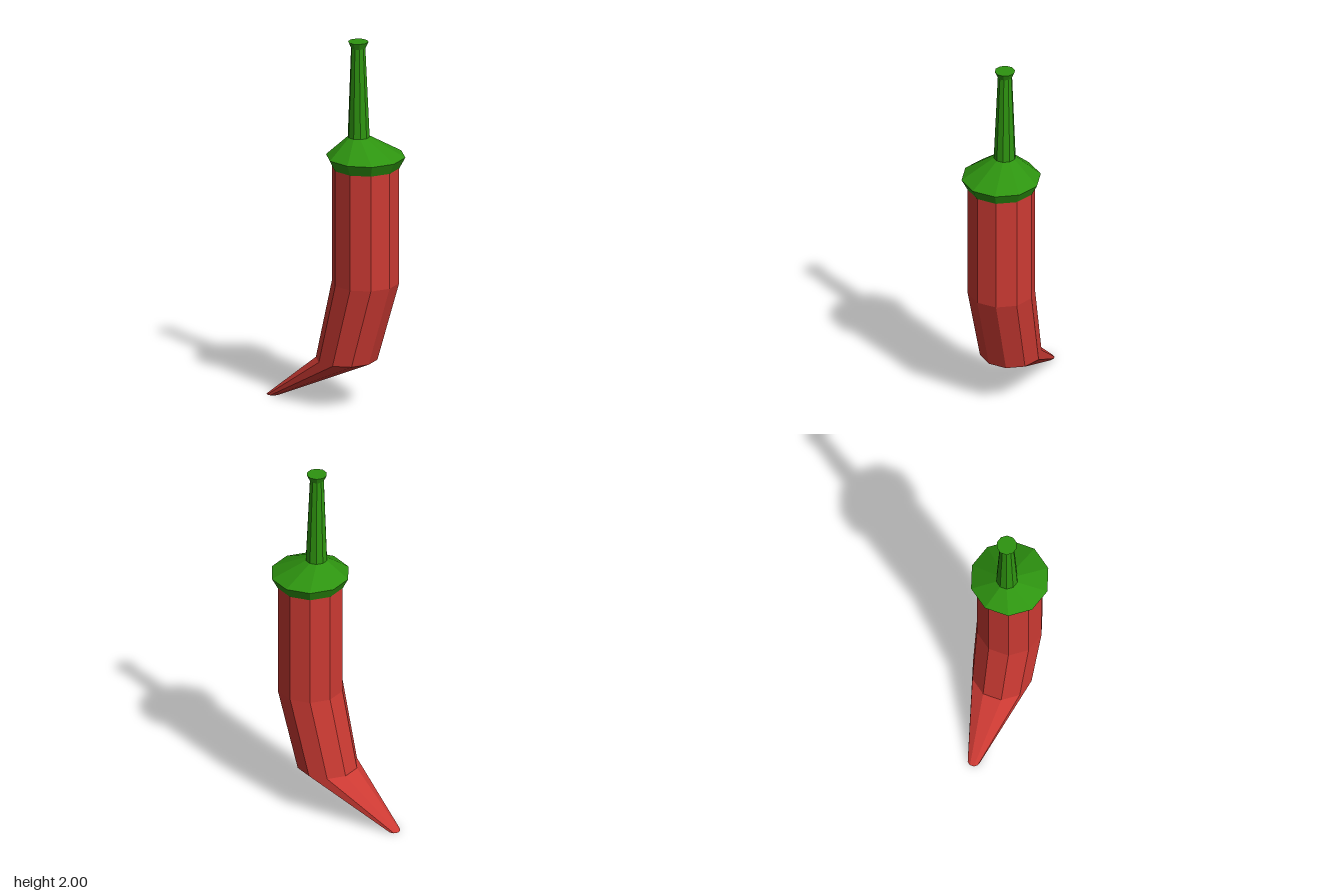
import * as THREE from 'three';

const SIDES = 10;

// Faceted skin through horizontal rings [centreX, y, radius], listed from top to bottom, with closed ends
function loft(name, rings, color) {
  const positions = [];
  const index = [];
  const last = rings.length - 1;
  for (const [cx, y, r] of rings) {
    for (let k = 0; k < SIDES; k++) {
      const a = ((k + 0.5) / SIDES) * Math.PI * 2;
      positions.push(cx + r * Math.cos(a), y, r * Math.sin(a));
    }
  }
  for (let i = 0; i < last; i++) {
    for (let k = 0; k < SIDES; k++) {
      const n = (k + 1) % SIDES;
      const a = i * SIDES + k, b = i * SIDES + n;
      const c = a + SIDES, d = b + SIDES;
      index.push(a, b, c, b, d, c);
    }
  }
  // End caps as fans
  for (let k = 1; k < SIDES - 1; k++) {
    const e = last * SIDES;
    index.push(0, k + 1, k, e, e + k, e + k + 1);
  }
  const indexed = new THREE.BufferGeometry();
  indexed.setAttribute('position', new THREE.Float32BufferAttribute(positions, 3));
  indexed.setIndex(index);
  const geometry = indexed.toNonIndexed();
  geometry.computeVertexNormals();
  const mesh = new THREE.Mesh(geometry, new THREE.MeshStandardMaterial({ color, flatShading: true }));
  mesh.name = name;
  return mesh;
}

export function createModel() {
  const group = new THREE.Group();
  group.name = 'chilliPepper';
  const red = 0xcc3a33;
  const green = 0x2e9410;

  group.add(
    // Curved fruit, bending towards -x and tapering to a blunt tip
    loft('fruit', [
      [0.186, 1.32, 0.178],
      [0.186, 0.69, 0.178],
      [0.075, 0.255, 0.163],
      [-0.357, 0, 0.034],
    ], red),
    // Flared cap under the stem
    loft('calyx', [
      [0.146, 1.48, 0.058],
      [0.187, 1.38, 0.21],
      [0.186, 1.32, 0.179],
    ], green),
    // Slim stem with a flared cut end
    loft('stem', [
      [0.143, 2, 0.054],
      [0.143, 1.965, 0.038],
      [0.146, 1.48, 0.058],
    ], green),
  );
  return group;
}
